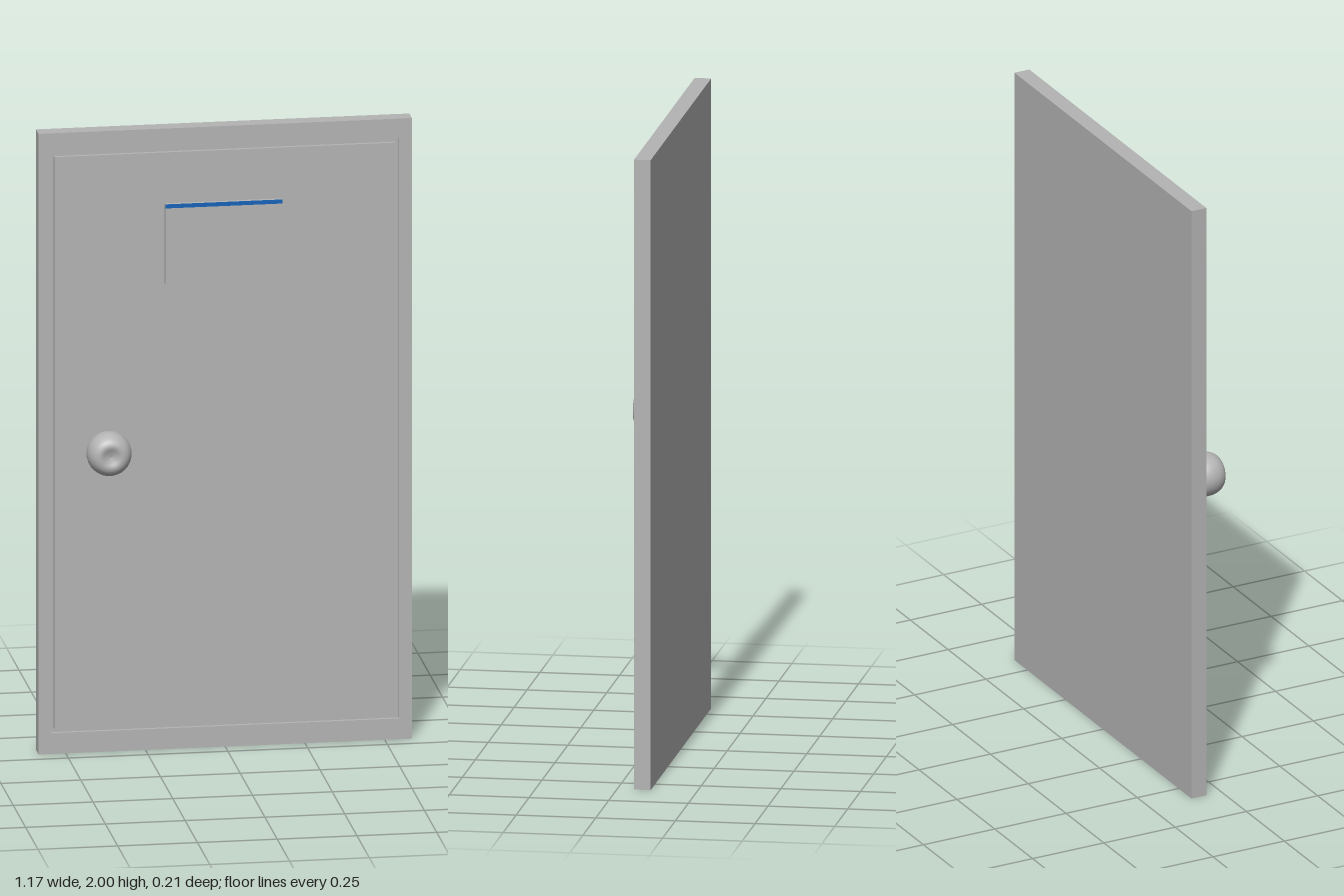
import * as THREE from 'three';

export function createModel() {
  const model = new THREE.Group();
  const grey = new THREE.MeshStandardMaterial({ color: 0xb4b4b4 });
  grey.name = 'door grey';
  const blue = new THREE.MeshStandardMaterial({ color: 0x1463b8 });
  blue.name = 'stripe blue';

  const add = (name, geometry, material = grey) => {
    const mesh = new THREE.Mesh(geometry, material);
    mesh.name = name;
    model.add(mesh);
    return mesh;
  };
  // Box given by its limits on each axis
  const box = (name, [x0, x1], [y0, y1], [z0, z1], material) =>
    add(name, new THREE.BoxGeometry(x1 - x0, y1 - y0, z1 - z0), material)
      .position.set((x0 + x1) / 2, (y0 + y1) / 2, (z0 + z1) / 2);
  const trace = (target, [x0, x1], [y0, y1]) => {
    target.moveTo(x0, y0);
    target.lineTo(x1, y0);
    target.lineTo(x1, y1);
    target.lineTo(x0, y1);
    target.closePath();
    return target;
  };

  const front = -0.053, back = -0.105, groove = 0.012;
  const doorX = [-0.585, 0.585], doorY = [0, 2];

  // Door slab, with a raised border and panel leaving a narrow groove between
  box('doorSlab', doorX, doorY, [back, front - groove]);
  const border = trace(new THREE.Shape(), doorX, doorY);
  border.holes.push(trace(new THREE.Path(), [-0.547, 0.545], [0.067, 1.937]));
  add('doorBorder', new THREE.ExtrudeGeometry(border, { depth: groove, bevelEnabled: false }))
    .position.z = front - groove;
  box('doorPanel', [-0.536, 0.534], [0.081, 1.923], [front - groove, front]);

  // Sign plate with a stripe along its top edge
  box('signPlate', [-0.19, 0.178], [1.503, 1.759], [front, -0.041]);
  box('signStripe', [-0.19, 0.178], [1.746, 1.759], [-0.041, -0.04], blue);

  // Round knob: tapered neck, ball and dished end, turned around z
  const lathe = (name, points) => {
    const mesh = add(name, new THREE.LatheGeometry(points.map(([r, z]) => new THREE.Vector2(r, z)), 32));
    mesh.rotation.x = Math.PI / 2;
    mesh.position.set(-0.38, 0.99, 0);
  };
  lathe('knobNeck', [[0.036, front], [0.026, -0.012]]);
  const ball = new THREE.SplineCurve([
    [0, -0.016], [0.028, -0.015], [0.05, -0.002], [0.065, 0.02], [0.07, 0.046],
    [0.066, 0.073], [0.053, 0.094], [0.035, 0.102], [0.016, 0.096], [0, 0.092],
  ].map(([r, z]) => new THREE.Vector2(r, z)));
  lathe('knobBall', ball.getPoints(32).map((p) => [Math.max(p.x, 0), p.y]));

  return model;
}
